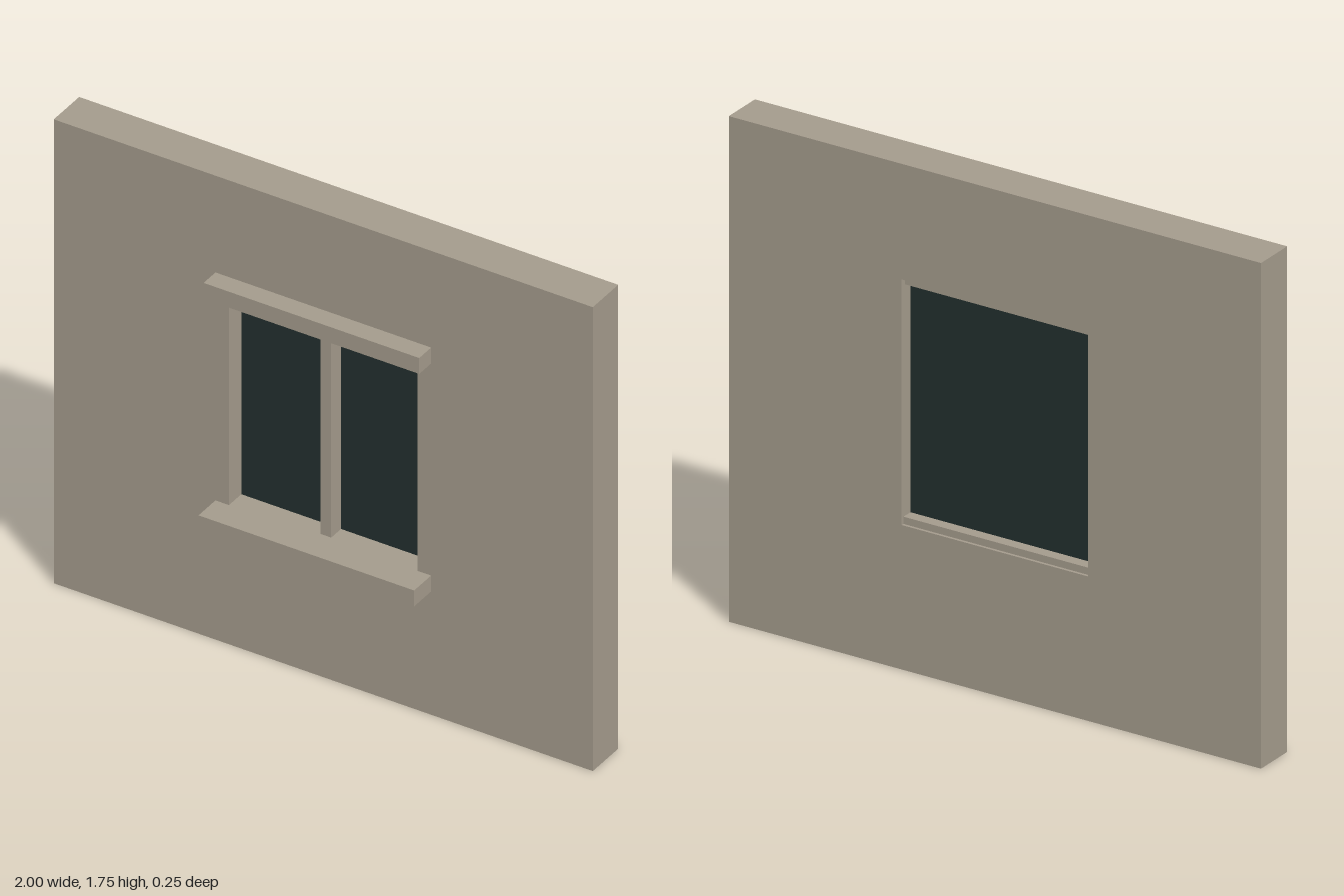
import * as THREE from 'three';

export function createModel() {
  const model = new THREE.Group();
  model.name = 'windowWall';

  const stone = new THREE.MeshStandardMaterial({ color: 0xa49b8c });
  stone.name = 'stone';
  const darkGlass = new THREE.MeshStandardMaterial({ color: 0x222f2e });
  darkGlass.name = 'dark glass';

  // Box given by its limits on each axis
  function addBox(name, material, [x0, x1], [y0, y1], [z0, z1]) {
    const mesh = new THREE.Mesh(new THREE.BoxGeometry(x1 - x0, y1 - y0, z1 - z0), material);
    mesh.position.set((x0 + x1) / 2, (y0 + y1) / 2, (z0 + z1) / 2);
    mesh.name = name;
    model.add(mesh);
  }

  function rectangle(path, x, y0, y1) {
    path.moveTo(-x, y0);
    path.lineTo(x, y0);
    path.lineTo(x, y1);
    path.lineTo(-x, y1);
    path.closePath();
    return path;
  }

  // Wall slab with the window opening cut through it
  const outline = rectangle(new THREE.Shape(), 1, 0, 1.75);
  outline.holes.push(rectangle(new THREE.Path(), 0.35, 0.5, 1.35));
  const wall = new THREE.Mesh(
    new THREE.ExtrudeGeometry(outline, { depth: 0.15, bevelEnabled: false }), stone);
  wall.position.z = -0.125;
  wall.name = 'wall';
  model.add(wall);

  // Pane and centre bar, set back in the opening
  addBox('pane', darkGlass, [-0.35, 0.35], [0.51, 1.34], [-0.075, -0.048]);
  addBox('mullion', stone, [-0.02, 0.02], [0.51, 1.34], [-0.06, 0.01]);

  // Projecting ledges, let into the wall and showing inside the opening
  addBox('sill', stone, [-0.4, 0.4], [0.465, 0.525], [-0.115, 0.125]);
  addBox('lintel', stone, [-0.4, 0.4], [1.325, 1.385], [-0.105, 0.095]);

  return model;
}
